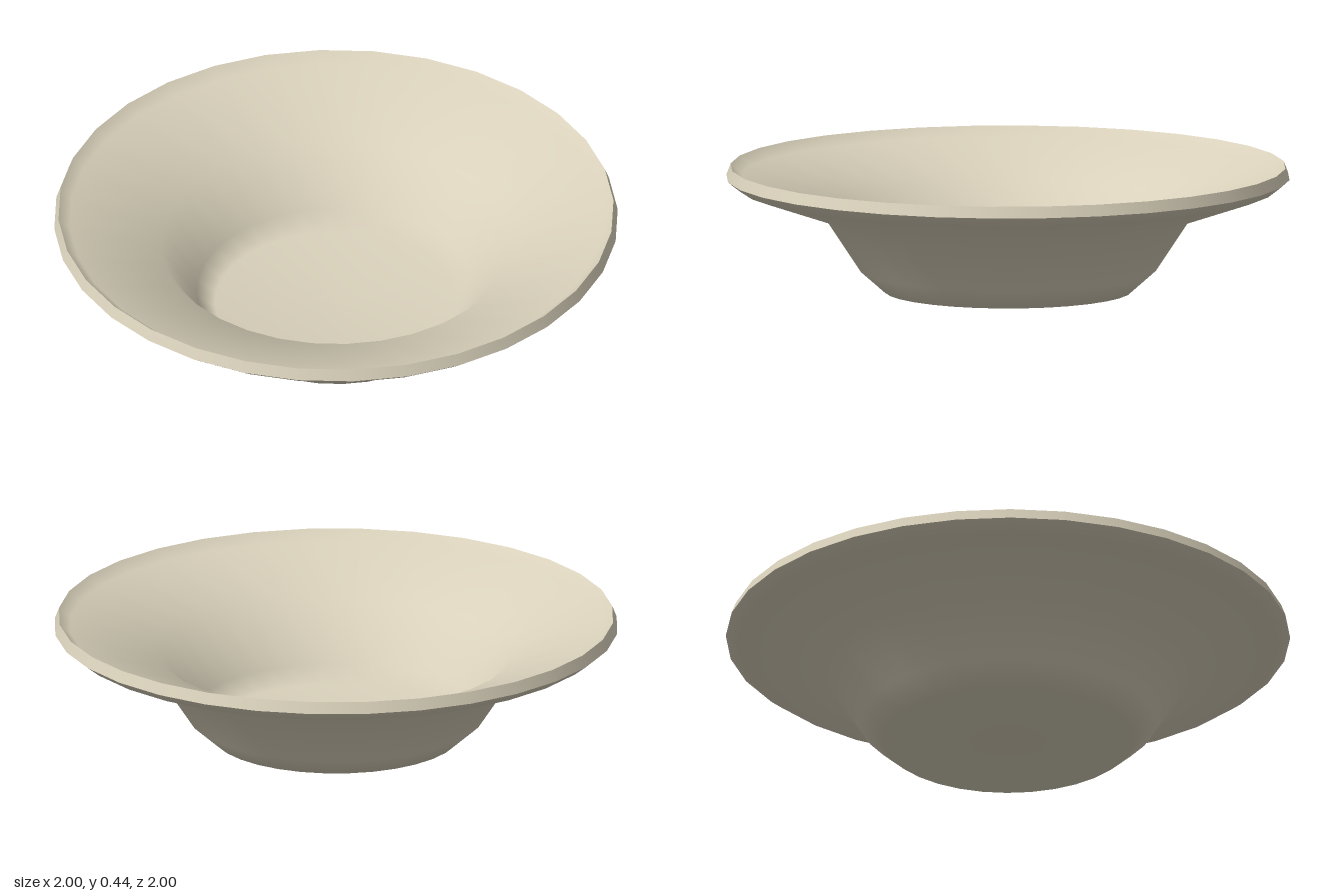
import * as THREE from 'three';

const SIDES = 32;

// Revolves a [radius, height] profile into a smooth surface
function revolve(name, profile, material) {
  const points = profile.map(([r, y]) => new THREE.Vector2(r, y));
  const mesh = new THREE.Mesh(new THREE.LatheGeometry(points, SIDES), material);
  mesh.name = name;
  return mesh;
}

export function createModel() {
  const group = new THREE.Group();
  group.name = 'bowl';
  const ceramic = new THREE.MeshStandardMaterial({ color: 0xd8d0ba });
  ceramic.name = 'cream ceramic';

  // Underside: flat foot, chamfer, steep wall and flared brim
  group.add(revolve('underside', [
    [0, 0], [0.44, 0], [0.525, 0.075], [0.65, 0.265], [0.955, 0.37], [1, 0.405],
  ], ceramic));

  // Rim: narrow band, tapering inward, with hard edges
  group.add(revolve('rim', [[1, 0.405], [0.985, 0.445]], ceramic));

  // Inside: brim, steep wall and rounded floor
  group.add(revolve('inside', [
    [0.985, 0.445], [0.945, 0.41], [0.62, 0.3], [0.495, 0.1], [0.43, 0.045], [0, 0.04],
  ], ceramic));

  return group;
}
